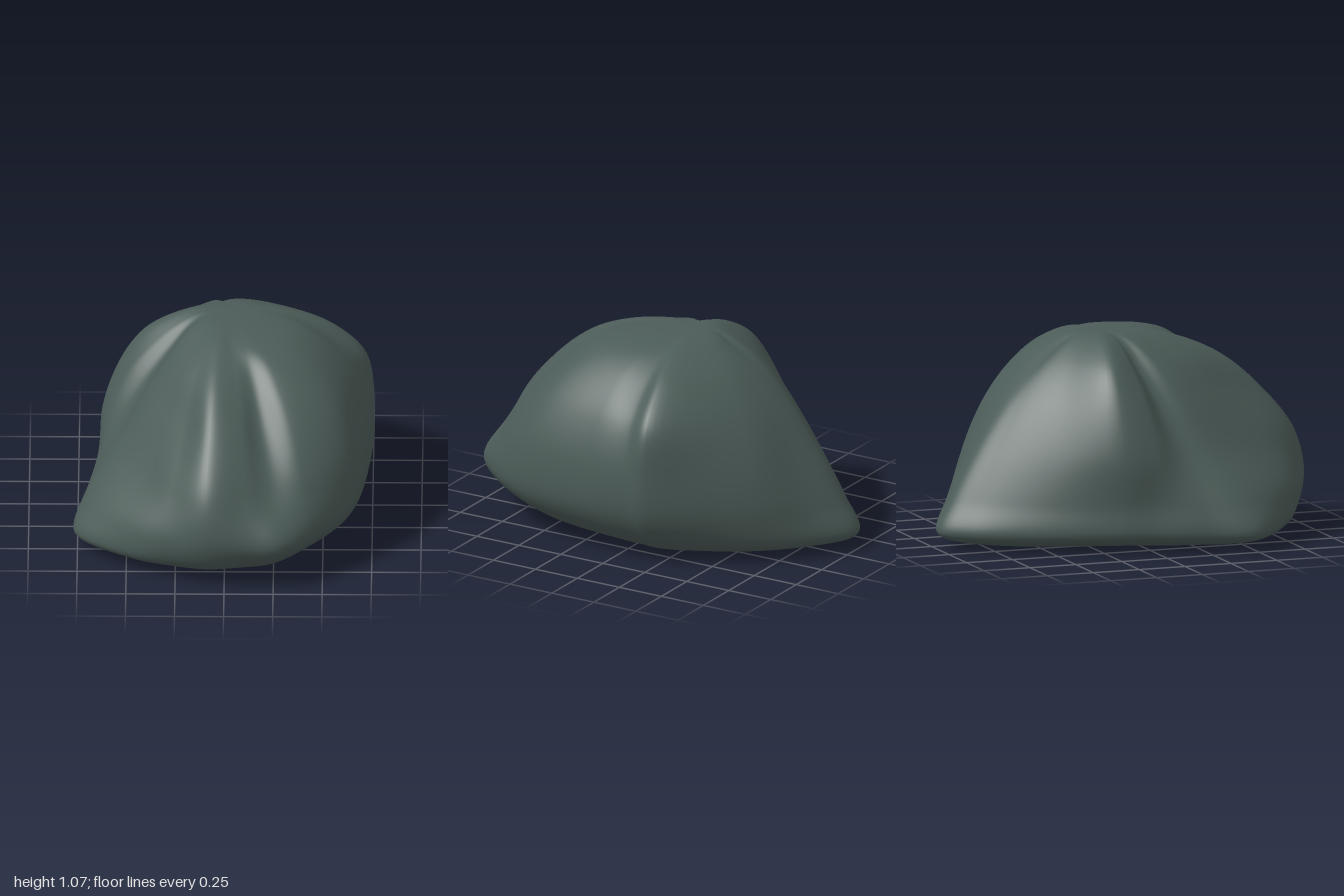
import * as THREE from 'three';

// widest outline as [x, z], clockwise from the back tip
const outline = [
  [-0.1, -1], [0.15, -0.89], [0.4, -0.69], [0.745, -0.25], [0.755, -0.12], [0.745, 0.1],
  [0.66, 0.57], [0.46, 0.87], [0.28, 0.99], [0.12, 0.995], [-0.1, 0.985], [-0.3, 0.9], [-0.48, 0.79],
  [-0.76, 0.5], [-0.715, 0.22], [-0.66, 0], [-0.61, -0.2], [-0.45, -0.58], [-0.25, -0.89],
];

// horizontal cross-sections: height, then share of the outline in each direction
const sections = [
  { y: 0.022, s: [0.8, 0.75, 0.7, 0.58, 0.55, 0.52, 0.5, 0.52, 0.55, 0.57, 0.58, 0.6, 0.64, 0.72, 0.74, 0.72, 0.7, 0.76, 0.8] },
  { y: 0.085, s: [1, 0.97, 0.92, 0.79, 0.78, 0.78, 0.78, 0.8, 0.85, 0.88, 0.91, 0.94, 0.97, 1, 1, 1, 1, 1, 1] },
  { y: 0.25, s: [0.92, 0.95, 0.99, 0.96, 0.96, 0.97, 0.98, 0.98, 1, 1, 1, 1, 0.98, 0.92, 0.96, 0.98, 1, 0.96, 0.92] },
  { y: 0.5, s: [0.76, 0.83, 0.94, 1, 1, 1, 0.98, 0.91, 0.85, 0.91, 0.96, 0.89, 0.8, 0.7, 0.78, 0.94, 1, 0.85, 0.77] },
  { y: 0.75, s: [0.56, 0.65, 0.78, 0.96, 0.91, 0.9, 0.86, 0.75, 0.65, 0.73, 0.78, 0.67, 0.6, 0.52, 0.56, 0.76, 0.87, 0.67, 0.58] },
  { y: 0.92, s: [0.37, 0.45, 0.57, 0.75, 0.69, 0.72, 0.69, 0.59, 0.5, 0.54, 0.59, 0.51, 0.45, 0.37, 0.37, 0.53, 0.68, 0.48, 0.4] },
  { y: 1.02, s: [0.2, 0.26, 0.34, 0.48, 0.46, 0.52, 0.51, 0.44, 0.37, 0.36, 0.38, 0.33, 0.28, 0.24, 0.24, 0.33, 0.43, 0.29, 0.24] },
];
// nearly flat crown, a reduced copy of the highest section
sections.push({ y: 1.06, s: sections[6].s.map((v) => v * 0.55) });

const CENTRE_Z = -0.1;
const AROUND = 190;
const UP = 72;

function boulderGeometry() {
  // a smooth closed loop through each cross-section
  const loops = sections.map(({ y, s }) => new THREE.CatmullRomCurve3(
    outline.map(([x, z], i) => new THREE.Vector3(x * s[i], y, CENTRE_Z + (z - CENTRE_Z) * s[i])), true));

  const positions = [];
  const index = [];
  const bottom = new THREE.Vector3(0, 0, CENTRE_Z);
  const top = new THREE.Vector3(0.03, 1.068, CENTRE_Z);
  for (let i = 0; i < AROUND; i++) {
    // a smooth rib from the underside to the crown
    const rib = new THREE.CatmullRomCurve3([bottom, ...loops.map((loop) => loop.getPoint(i / AROUND)), top]);
    for (let j = 0; j <= UP; j++) {
      const p = rib.getPoint(j / UP);
      positions.push(p.x, Math.max(p.y, 0), p.z);
    }
    const a = i * (UP + 1);
    const b = ((i + 1) % AROUND) * (UP + 1);
    for (let j = 0; j < UP; j++) {
      if (j < UP - 1) index.push(a + j, a + j + 1, b + j + 1);
      if (j > 0) index.push(a + j, b + j + 1, b + j);
      if (j === UP - 1) index.push(a + j, a + j + 1, b + j);
    }
  }
  const geometry = new THREE.BufferGeometry();
  geometry.setAttribute('position', new THREE.Float32BufferAttribute(positions, 3));
  geometry.setIndex(index);
  geometry.computeVertexNormals();
  return geometry;
}

export function createModel() {
  const stone = new THREE.MeshStandardMaterial({ color: 0x4c5c58 });
  stone.name = 'darkStone';
  const boulder = new THREE.Mesh(boulderGeometry(), stone);
  boulder.name = 'boulder';
  const group = new THREE.Group();
  group.name = 'rock';
  group.add(boulder);
  return group;
}
